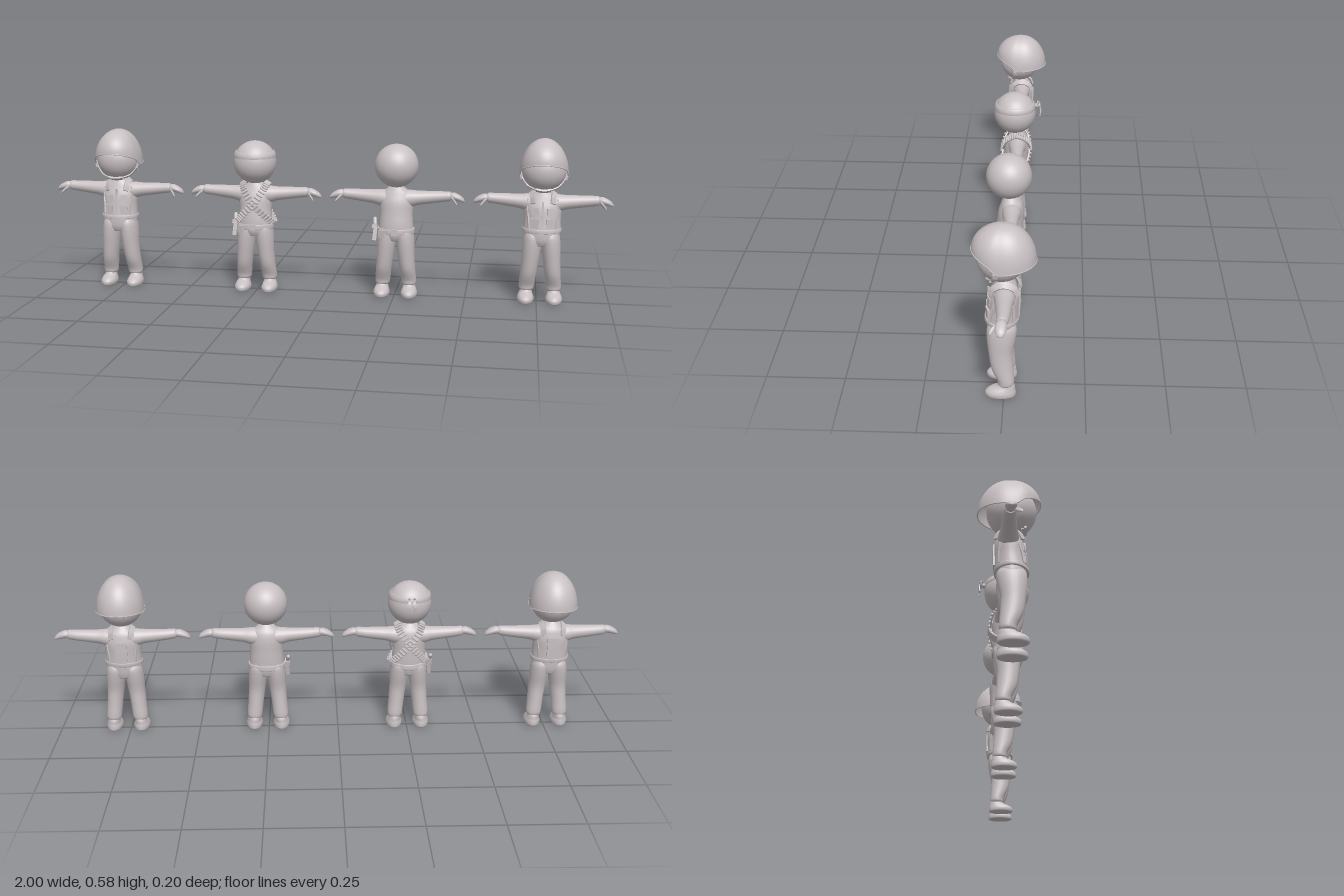
import * as THREE from 'three';

const clay = new THREE.MeshStandardMaterial({ color: 0xc8c0c2, side: THREE.DoubleSide });
clay.name = 'warm grey clay';
const V = (x, y, z) => new THREE.Vector3(x, y, z);

function add(group, name, geometry, x = 0, y = 0, z = 0, rx = 0, ry = 0, rz = 0) {
  const m = new THREE.Mesh(geometry, clay);
  m.name = name;
  m.position.set(x, y, z);
  m.rotation.set(rx, ry, rz);
  group.add(m);
  return m;
}

// Grid of points to a smooth surface, wrapped around in j
function skin(rows, n, point, caps = true) {
  const pos = [], idx = [];
  for (let i = 0; i < rows; i++) for (let j = 0; j < n; j++) pos.push(...point(i, j));
  for (let i = 0; i < rows - 1; i++) for (let j = 0; j < n; j++) {
    const k = (j + 1) % n, a = i * n + j, b = i * n + k, c = a + n, d = b + n;
    idx.push(a, b, c, b, d, c);
  }
  if (caps) for (const i of [0, rows - 1]) {
    const c = pos.length / 3, p = point(i, 0), q = point(i, n / 2);
    pos.push((p[0] + q[0]) / 2, (p[1] + q[1]) / 2, (p[2] + q[2]) / 2);
    for (let j = 0; j < n; j++) {
      const a = i * n + j, b = i * n + (j + 1) % n;
      i ? idx.push(a, b, c) : idx.push(b, a, c);
    }
  }
  const g = new THREE.BufferGeometry();
  g.setAttribute('position', new THREE.Float32BufferAttribute(pos, 3));
  g.setIndex(idx);
  g.computeVertexNormals();
  return g;
}

// Elliptical sections [along, centreA, centreB, radiusA, radiusB], smoothed along the axis
function loft(sections, axis = 'y', caps = true, n = 24) {
  const rows = [], at = i => sections[Math.min(Math.max(i, 0), sections.length - 1)], step = 4;
  for (let i = 0; i < sections.length - 1; i++) for (let s = 0; s < step; s++) {
    const t = s / step;
    rows.push(at(i).map((p, k) => {
      const m0 = (at(i + 1)[k] - at(i - 1)[k]) / 2, m1 = (at(i + 2)[k] - p) / 2, q = at(i + 1)[k];
      return p + t * (m0 + t * (3 * (q - p) - 2 * m0 - m1 + t * (2 * (p - q) + m0 + m1)));
    }));
  }
  rows.push(sections[sections.length - 1]);
  return skin(rows.length, n, (i, j) => {
    const [t, p, q, a, b] = rows[i], w = j / n * Math.PI * 2, s = Math.sin(w), c = Math.cos(w);
    return axis === 'y' ? [p + a * s, t, q + b * c] : [t, p + a * c, q + b * s];
  }, caps);
}

function mirrored(g) {
  const m = g.clone().scale(-1, 1, 1), ix = m.index.array;
  for (let i = 0; i < ix.length; i += 3) [ix[i], ix[i + 1]] = [ix[i + 1], ix[i]];
  m.computeVertexNormals();
  return m;
}

function pair(group, name, g) {
  add(group, 'left' + name, g);
  add(group, 'right' + name, mirrored(g));
}

// Frame on a strap path: outward normal points away from a centre
function frame(curve, t, centre) {
  const p = curve.getPoint(t), tan = curve.getTangent(t), out = p.clone().sub(centre);
  out.addScaledVector(tan, -out.dot(tan)).normalize();
  return { p, tan, out, side: tan.clone().cross(out) };
}

// Flat strap of rectangular section
function strap(points, centre, width, thick, closed = false, steps = 40) {
  const curve = new THREE.CatmullRomCurve3(points, closed);
  return skin(steps + 1, 4, (i, j) => {
    const f = frame(curve, i / steps, centre);
    return f.p.addScaledVector(f.side, (j === 1 || j === 2 ? -1 : 1) * width / 2)
      .addScaledVector(f.out, (j < 2 ? -1 : 1) * thick / 2).toArray();
  }, !closed).toNonIndexed();
}
function sharpStrap(...args) {
  const g = strap(...args);
  g.computeVertexNormals();
  return g;
}

const CHEST = V(0, 0.32, 0), HEAD = V(0, 0.469, 0.007);
const TORSO = [[.205, 0, .006, .045, .038], [.225, 0, .007, .061, .045], [.26, 0, .006, .06, .047], [.30, 0, .003, .058, .045],
  [.34, 0, 0, .06, .043], [.368, 0, -.002, .054, .036], [.385, 0, 0, .036, .028], [.4, 0, .002, .02, .02]];

function body() {
  const g = new THREE.Group();
  add(g, 'head', new THREE.SphereGeometry(.0765, 32, 24), ...HEAD.toArray());
  add(g, 'torso', loft(TORSO));
  pair(g, 'Arm', loft([[.02, .349, -.002, .034, .034], [.055, .352, -.003, .03, .031], [.08, .355, -.003, .025, .027],
    [.12, .358, -.004, .022, .023], [.16, .361, -.004, .019, .02], [.186, .363, -.002, .017, .017], [.19, .363, -.002, .013, .013]], 'x'));
  pair(g, 'Hand', loft([[.183, .363, -.002, .012, .013], [.2, .364, -.001, .014, .017], [.218, .359, 0, .012, .017],
    [.231, .353, 0, .009, .013], [.237, .349, 0, .005, .007], [.239, .348, 0, .001, .002]], 'x', true, 16));
  pair(g, 'Thumb', loft([[.192, .36, .008, .007, .007], [.202, .352, .02, .007, .007], [.21, .344, .028, .006, .006],
    [.215, .339, .031, .002, .002]], 'x', true, 10));
  pair(g, 'Leg', loft([[.038, .047, -.006, .018, .018], [.044, .047, -.006, .025, .025], [.06, .046, -.005, .027, .027],
    [.1, .042, .005, .028, .034], [.15, .037, .01, .03, .037], [.2, .033, .008, .033, .044], [.235, .03, .006, .032, .045], [.255, .028, .006, .025, .035]]));
  pair(g, 'Shoe', loft([[0, .049, .01, .024, .044], [.004, .049, .01, .028, .047], [.015, .049, .01, .029, .047],
    [.026, .049, .005, .025, .04], [.036, .048, -.006, .021, .028], [.05, .047, -.007, .019, .021]]));
  return g;
}

function helmet(g) {
  // Rim height against the cosine of the heading, front = 1
  const rim = [[-1, .459], [.12, .451], [.28, .457], [.45, .474], [1, .496]];
  const rimY = c => {
    const i = Math.max(1, rim.findIndex(r => c <= r[0] + 1e-6));
    return THREE.MathUtils.mapLinear(c, rim[i - 1][0], rim[i][0], rim[i - 1][1], rim[i][1]);
  };
  const n = 48, point = (a, j, grow = 0) => {
    const w = j / n * Math.PI * 2, c = Math.cos(w), y = rimY(c), r = Math.cos(a);
    return [(.084 + grow) * Math.sin(w) * r, y + (.576 - y) * Math.sin(a), (.097 + grow) * c * r];
  };
  add(g, 'helmetShell', skin(15, n, (i, j) => point(i / 14 * Math.PI / 2 * .9999, j), false));
  const edge = new THREE.CatmullRomCurve3(Array.from({ length: n }, (_, j) => V(...point(0, j))), true);
  add(g, 'helmetRim', new THREE.TubeGeometry(edge, 96, .002, 6, true));
  // Chin straps follow the head down to the chin cup
  const onHead = (x, y, z) => V(x, y, z).sub(HEAD).setLength(.079).add(HEAD);
  for (const s of [1, -1]) {
    const pts = [onHead(s * .076, .462, .018), onHead(s * .072, .44, .022), onHead(s * .052, .413, .032), onHead(s * .02, .398, .045)];
    add(g, 'chinStrap', sharpStrap(pts, HEAD, .01, .004));
    add(g, 'strapBuckle', new THREE.BoxGeometry(.006, .014, .016), s * .077, .444, .021, 0, 0, -s * .25);
  }
  add(g, 'chinCup', sharpStrap([-.026, -.012, 0, .012, .026].map(x => onHead(x, .399, .046)), HEAD, .018, .007));
}

function vest(g) {
  const shell = TORSO.slice(2, 6).map(([y, a, b, c, d]) => [y - .004, a, b, c + .005, d + .004]);
  add(g, 'vestShell', loft(shell, 'y', false, 32));
  add(g, 'vestWaistband', loft([[.253, 0, .007, .064, .051], [.254, 0, .007, .067, .053], [.265, 0, .006, .067, .053], [.266, 0, .006, .063, .05]], 'y', true, 32));
  for (const s of [1, -1]) {
    add(g, 'vestShoulderStrap', sharpStrap([V(s * .034, .355, .04), V(s * .036, .378, .028), V(s * .038, .39, 0),
      V(s * .036, .378, -.03), V(s * .034, .355, -.041)], V(0, .34, 0), .02, .006));
    // Trim beside the arm openings, front and back
    for (const f of [1, -1]) add(g, 'vestSideTrim', sharpStrap([V(s * .046, .268, f * .036 + .006), V(s * .048, .30, f * .033 + .003),
      V(s * .052, .335, f * .026), V(s * .05, .368, f * .022)], CHEST, .007, .006));
    // Front pouches with flaps
    add(g, 'vestPocket', new THREE.BoxGeometry(.028, .028, .008), s * .027, .284, .048, 0, s * .3);
    add(g, 'pocketFlap', new THREE.BoxGeometry(.03, .008, .01), s * .027, .299, .047, 0, s * .3);
    add(g, 'chestPocket', new THREE.BoxGeometry(.024, .022, .006), s * .026, .328, .043, -.08, s * .3);
  }
  add(g, 'vestFrontSeam', new THREE.BoxGeometry(.006, .095, .006), 0, .314, .049, -.06);
  add(g, 'backPanel', sharpStrap([V(0, .275, -.045), V(0, .31, -.046), V(0, .345, -.046)], CHEST, .04, .006));
}

function belt(g) {
  add(g, 'belt', loft([[.229, 0, .007, .062, .047], [.23, 0, .007, .066, .051], [.247, 0, .007, .066, .051], [.248, 0, .007, .061, .048]], 'y', true, 32));
  add(g, 'beltBuckle', new THREE.BoxGeometry(.022, .021, .006), 0, .239, .058);
  // Holster with a tilted grip on the right hip
  add(g, 'holster', new THREE.BoxGeometry(.014, .05, .026), -.073, .225, .012, -.2, 0, -.08);
  add(g, 'holsterFlap', new THREE.BoxGeometry(.018, .014, .03), -.074, .249, .008, -.2, 0, -.08);
  add(g, 'holsterGrip', new THREE.CapsuleGeometry(.007, .02, 4, 10), -.076, .265, -.004, -.6, 0, .1);
  add(g, 'beltPouch', new THREE.BoxGeometry(.02, .026, .014), -.046, .232, .049, 0, -.5);
}

function bandoliers(g) {
  const half = [[.034, .372, .034], [.002, .325, .052], [-.042, .28, .042], [-.065, .252, .004], [-.042, .28, -.037], [-.002, .325, -.048], [.034, .372, -.036], [.042, .391, 0]];
  for (const s of [1, -1]) {
    const pts = half.map(([x, y, z]) => V(s * x, y, z));
    add(g, 'bandolierStrap', sharpStrap(pts, CHEST, .02, .005, true, 64));
    const curve = new THREE.CatmullRomCurve3(pts, true), count = 38;
    const bullet = new THREE.CapsuleGeometry(.0042, .018, 3, 8);
    for (let i = 0; i < count; i++) {
      const f = frame(curve, i / count, CHEST), m = add(g, 'cartridge', bullet);
      m.position.copy(f.p).addScaledVector(f.out, .005);
      m.quaternion.setFromUnitVectors(V(0, 1, 0), f.side);
    }
  }
}

function headband(g) {
  const profile = [[.0725, .488], [.0763, .488], [.0742, .498], [.0706, .509], [.066, .509]].map(p => new THREE.Vector2(...p));
  add(g, 'headband', new THREE.LatheGeometry(profile, 40), 0, 0, HEAD.z);
  add(g, 'headbandKnot', new THREE.SphereGeometry(.009, 12, 8), 0, .498, -.072);
  for (const s of [1, -1]) {
    add(g, 'headbandTail', sharpStrap([V(0, .498, -.074), V(s * .007, .496, -.084), V(s * .012, .482, -.088), V(s * .016, .464, -.086)], HEAD, .012, .003));
    add(g, 'knotLoop', new THREE.TorusGeometry(.007, .003, 6, 14), s * .01, .502, -.079, .4, s * .5);
  }
}

export function createModel() {
  const model = new THREE.Group();
  model.name = 'figureLineup';
  const outfits = [[helmet, vest], [belt, bandoliers, headband], [belt], [helmet, vest]];
  outfits.forEach((parts, i) => {
    const figure = body();
    figure.name = 'figure' + (i + 1);
    parts.forEach(dress => dress(figure));
    figure.position.x = (i - 1.5) * .5073;
    model.add(figure);
  });
  return model;
}
